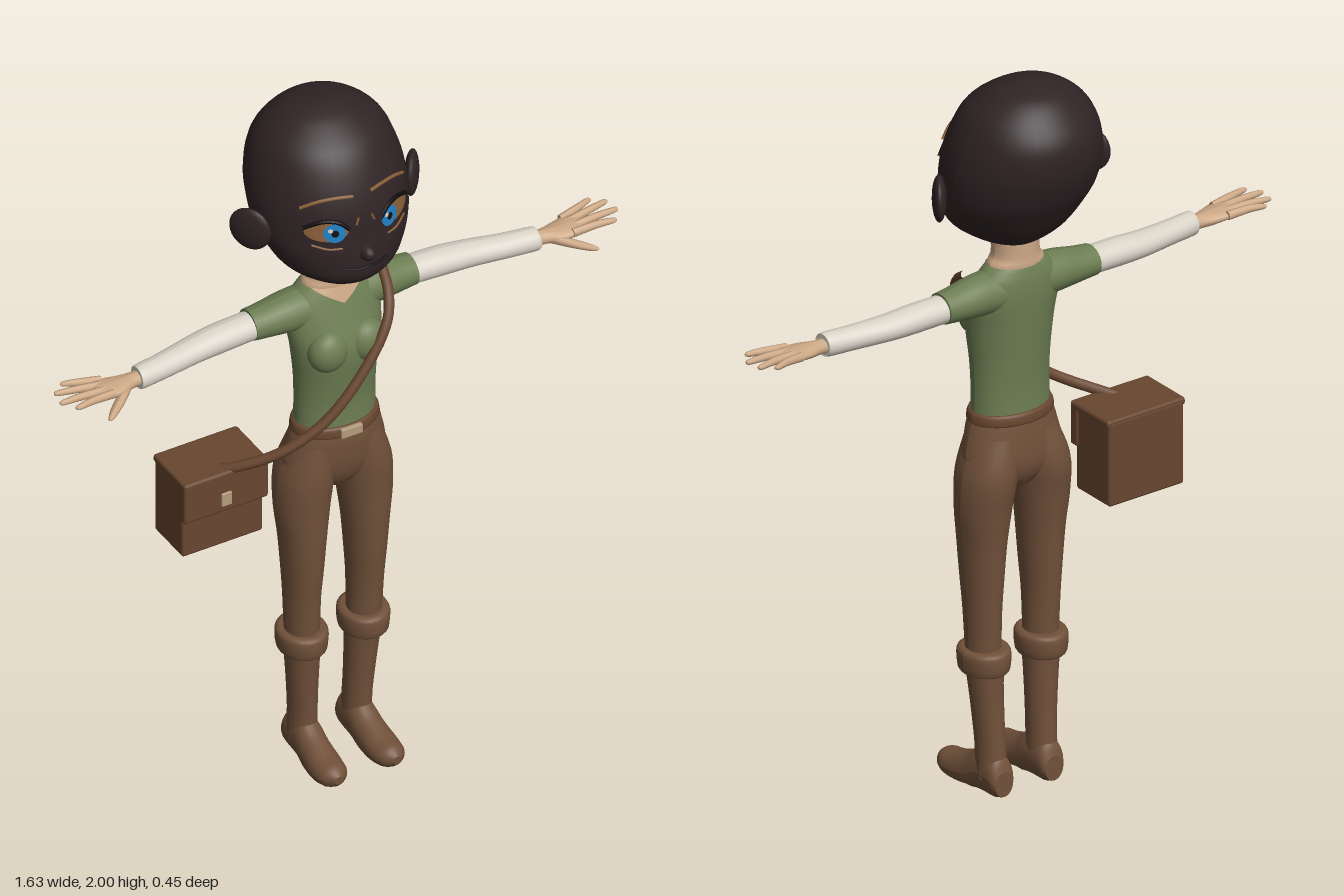
import * as THREE from 'three';
import { RoundedBoxGeometry } from 'three/addons/geometries/RoundedBoxGeometry.js';

const mat = (name, color) => {
  const m = new THREE.MeshStandardMaterial({ color });
  m.name = name;
  return m;
};

// Smooths rows of [s, centreA, centreB, radiusA, radiusB]
function smooth(rows, n = 5) {
  const out = [];
  const cr = (a, b, c, d, t) => 0.5 * (2 * b + (c - a) * t + (2 * a - 5 * b + 4 * c - d) * t * t + (3 * b - a - 3 * c + d) * t * t * t);
  const at = (i) => rows[Math.max(0, Math.min(rows.length - 1, i))];
  for (let i = 0; i < rows.length - 1; i++)
    for (let k = 0; k < n; k++)
      out.push(rows[i].map((_, c) => cr(at(i - 1)[c], at(i)[c], at(i + 1)[c], at(i + 2)[c], k / n)));
  out.push(rows[rows.length - 1]);
  return out;
}

// Capped skin over elliptical sections along one axis
function loft(rows, axis = 'y', sides = 24, steps = 5) {
  const body = smooth(rows, steps);
  const first = body[0], last = body[body.length - 1];
  const flat = (r) => [r[0], r[1], r[2], 0, 0];
  const rings = [flat(first), first, ...body, last, flat(last)];
  const pos = [], idx = [];
  rings.forEach(([s, a, b, ra, rb], i) => {
    for (let j = 0; j <= sides; j++) {
      const t = (j / sides) * Math.PI * 2;
      const u = a + ra * Math.cos(t), v = rb * Math.sin(t);
      if (axis === 'y') pos.push(u, s, b + v);
      else if (axis === 'x') pos.push(s, u, b - v);
      else pos.push(u, Math.max(0, b - v), s);
      if (i < rings.length - 1 && j < sides) {
        const p = i * (sides + 1) + j, q = p + sides + 1;
        idx.push(p, q, p + 1, q, q + 1, p + 1);
      }
    }
  });
  const g = new THREE.BufferGeometry();
  g.setAttribute('position', new THREE.Float32BufferAttribute(pos, 3));
  g.setIndex(idx);
  g.computeVertexNormals();
  return g;
}

// Front z of a vertical loft at (x, y)
function frontZ(rows, x, y) {
  const r = smooth(rows);
  let i = r.findIndex((q) => q[0] >= y);
  i = i < 1 ? (i === 0 ? 1 : r.length - 1) : i;
  const t = (y - r[i - 1][0]) / (r[i][0] - r[i - 1][0]);
  const [, cx, cz, rx, rz] = r[i].map((v, c) => THREE.MathUtils.lerp(r[i - 1][c], v, Math.min(1, Math.max(0, t))));
  return cz + rz * Math.sqrt(Math.max(0, 1 - ((x - cx) / rx) ** 2));
}

// Lays a flat geometry onto the front of a loft
function drape(g, rows, lift) {
  const p = g.attributes.position;
  for (let i = 0; i < p.count; i++) p.setZ(i, frontZ(rows, p.getX(i), p.getY(i)) + lift);
  g.computeVertexNormals();
  return g;
}

function mirrored(g) {
  const m = g.clone().scale(-1, 1, 1), ix = m.index.array;
  for (let i = 0; i < ix.length; i += 3) [ix[i], ix[i + 1]] = [ix[i + 1], ix[i]];
  m.computeVertexNormals();
  return m;
}

const tube = (pts, r, n = 16, sides = 6) =>
  new THREE.TubeGeometry(new THREE.CatmullRomCurve3(pts.map((p) => new THREE.Vector3(...p))), n, r, sides);

// Head profile: y, half width, front z, back z
const HEAD = [
  [1.525, 0.035, 0.08, -0.02], [1.54, 0.08, 0.14, -0.05], [1.565, 0.122, 0.18, -0.085],
  [1.6, 0.163, 0.2, -0.12], [1.66, 0.195, 0.2, -0.16], [1.71, 0.207, 0.193, -0.19],
  [1.79, 0.208, 0.182, -0.22], [1.87, 0.19, 0.152, -0.22], [1.93, 0.16, 0.112, -0.187],
  [1.975, 0.105, 0.05, -0.14], [1.993, 0.055, 0.005, -0.085], [2.0, 0.005, -0.03, -0.04],
].map(([y, w, f, b]) => [y, 0, (f + b) / 2, w, (f - b) / 2]);

const TORSO = [
  [1.04, 0, 0.032, 0.113, 0.076], [1.12, 0, 0.032, 0.112, 0.074], [1.2, 0, 0.034, 0.114, 0.08],
  [1.3, 0, 0.035, 0.125, 0.088], [1.38, 0, 0.02, 0.134, 0.078], [1.43, 0, 0.012, 0.125, 0.068],
  [1.46, 0, 0.01, 0.098, 0.06], [1.475, 0, 0.01, 0.078, 0.055],
];

export function createModel() {
  const model = new THREE.Group();
  model.name = 'travellerFigure';
  const dark = mat('darkHead', 0x2f2325), skin = mat('skin', 0xcaa684), green = mat('greenShirt', 0x6c7d52);
  const cream = mat('creamSleeve', 0xd8d2c7), brown = mat('brownTrousers', 0x71513a), leather = mat('leather', 0x68462f);
  const buckle = mat('buckle', 0xb49c7c), amber = mat('amber', 0x8a6038), blue = mat('blueIris', 0x1f80c2), ink = mat('ink', 0x120d10);

  const add = (name, geo, m) => {
    const mesh = new THREE.Mesh(geo, m);
    mesh.name = name;
    model.add(mesh);
    return mesh;
  };
  const both = (name, geo, m) => {
    add(name + 'Left', geo, m);
    add(name + 'Right', mirrored(geo), m);
  };

  // Head, ears and nose
  add('head', loft(HEAD, 'y', 40), dark);
  both('ear', new THREE.SphereGeometry(1, 20, 14).scale(0.058, 0.062, 0.019).rotateY(0.96).translate(0.236, 1.71, 0.015), dark);
  add('nose', new THREE.SphereGeometry(1, 16, 12).scale(0.021, 0.022, 0.03).translate(0, 1.665, 0.195), dark);

  // Face details follow the head surface
  const disc = (x, y, rx, ry, lift) => drape(new THREE.RingGeometry(0, 1, 24, 5).scale(rx, ry, 1).translate(x, y, 0), HEAD, lift);
  const line = (pts, r) => tube(pts.map(([x, y]) => [x, y, frontZ(HEAD, x, y) + 0.002]), r);
  for (const [side, s] of [['Left', 1], ['Right', -1]]) {
    const ix = 0.079 * s - 0.004;
    add('eye' + side, disc(0.098 * s, 1.745, 0.051, 0.028, 0.003), amber);
    add('iris' + side, disc(ix, 1.742, 0.027, 0.027, 0.005), blue);
    add('pupil' + side, disc(ix, 1.742, 0.009, 0.01, 0.0065), ink);
    add('eyeGlint' + side, disc(ix - 0.011, 1.752, 0.006, 0.006, 0.008), cream);
  }
  both('eyelid', line([[0.045, 1.748], [0.07, 1.77], [0.105, 1.776], [0.15, 1.755]], 0.006), ink);
  both('brow', line([[0.025, 1.832], [0.065, 1.835], [0.11, 1.828], [0.15, 1.808]], 0.005), amber);
  both('underEyeLine', line([[0.065, 1.694], [0.1, 1.695], [0.135, 1.706]], 0.003), amber);
  both('noseBridgeLine', line([[0.018, 1.775], [0.026, 1.755]], 0.003), amber);
  add('mouth', line([[-0.062, 1.632], [-0.03, 1.624], [0, 1.627], [0.03, 1.624], [0.062, 1.632]], 0.004), ink);

  // Neck, shirt and neckline
  add('neck', loft([[1.44, 0, 0.01, 0.085, 0.055], [1.475, 0, 0.01, 0.08, 0.057], [1.5, 0, 0.01, 0.066, 0.055], [1.56, 0, 0.012, 0.066, 0.055]]), skin);
  add('shirt', loft(TORSO, 'y', 32), green);
  both('chest', new THREE.SphereGeometry(1, 20, 14).scale(0.055, 0.06, 0.045).translate(0.055, 1.305, 0.093), green);
  const vee = new THREE.PlaneGeometry(2, 1, 10, 6), vp = vee.attributes.position;
  for (let i = 0; i < vp.count; i++) {
    const h = vp.getY(i) + 0.5;
    vp.setXY(i, vp.getX(i) * 0.075 * h, 1.43 + 0.045 * h);
  }
  add('neckline', drape(vee, TORSO, 0.004), skin);

  // Arms and hands
  both('shortSleeve', loft([[0.06, 1.405, 0.01, 0.058, 0.058], [0.13, 1.405, 0.01, 0.054, 0.056], [0.19, 1.402, 0.009, 0.046, 0.05], [0.237, 1.401, 0.008, 0.041, 0.046]], 'x'), green);
  both('longSleeve', loft([[0.2, 1.4, 0.008, 0.036, 0.042], [0.32, 1.397, 0.012, 0.037, 0.043], [0.4, 1.393, 0.017, 0.034, 0.041],
    [0.5, 1.389, 0.032, 0.032, 0.036], [0.575, 1.388, 0.042, 0.032, 0.033], [0.582, 1.388, 0.042, 0.027, 0.028]], 'x'), cream);
  both('palm', loft([[0.56, 1.386, 0.042, 0.02, 0.024], [0.6, 1.386, 0.043, 0.019, 0.023], [0.64, 1.387, 0.047, 0.018, 0.036],
    [0.69, 1.392, 0.045, 0.014, 0.042], [0.708, 1.394, 0.045, 0.008, 0.036]], 'x', 16), skin);
  // Each finger: root z, tip x, tip z
  [[0.012, 0.775, -0.012], [0.033, 0.808, 0.014], [0.055, 0.815, 0.055], [0.077, 0.79, 0.092]].forEach(([z0, x1, z1], i) =>
    both('finger' + (i + 1), loft([[0.67, 1.393, z0, 0.012, 0.012], [(0.68 + x1) / 2, 1.4, (z0 + z1) / 2, 0.01, 0.0105],
      [x1 - 0.01, 1.401, z1, 0.007, 0.008], [x1, 1.401, z1, 0.002, 0.002]], 'x', 10), skin));
  both('thumb', loft([[0.615, 1.384, 0.055, 0.014, 0.016], [0.66, 1.373, 0.09, 0.012, 0.018],
    [0.7, 1.364, 0.12, 0.009, 0.013], [0.715, 1.362, 0.131, 0.003, 0.004]], 'x', 10), skin);

  // Trousers
  add('hips', loft([[0.85, 0, 0.022, 0.05, 0.05], [0.885, 0, 0.022, 0.115, 0.072], [0.93, 0, 0.024, 0.145, 0.084],
    [1.0, 0, 0.03, 0.132, 0.085], [1.05, 0, 0.032, 0.117, 0.079]], 'y', 32), brown);
  both('trouserLeg', loft([[0.36, 0.09, 0.024, 0.045, 0.047], [0.5, 0.092, 0.026, 0.047, 0.056], [0.6, 0.092, 0.028, 0.053, 0.065],
    [0.7, 0.092, 0.028, 0.061, 0.072], [0.8, 0.091, 0.024, 0.072, 0.08], [0.9, 0.082, 0.021, 0.075, 0.089], [1.0, 0.062, 0.028, 0.058, 0.075]]), brown);

  // Belt and buckle
  add('belt', loft([[1.032, 0, 0.032, 0.118, 0.082], [1.037, 0, 0.032, 0.123, 0.087], [1.057, 0, 0.032, 0.12, 0.085], [1.063, 0, 0.032, 0.114, 0.08]], 'y', 32, 3), leather);
  add('beltBuckle', new RoundedBoxGeometry(0.062, 0.028, 0.012, 2, 0.003).translate(0, 1.048, 0.118), buckle);

  // Boots
  both('bootShaft', loft([[0.04, 0.08, 0.004, 0.039, 0.047], [0.12, 0.08, 0.008, 0.037, 0.045], [0.2, 0.083, 0.013, 0.039, 0.046],
    [0.3, 0.087, 0.019, 0.044, 0.05], [0.375, 0.09, 0.023, 0.05, 0.056]]), brown);
  both('bootCuff', loft([[0.338, 0.09, 0.022, 0.052, 0.06], [0.345, 0.09, 0.022, 0.063, 0.073], [0.392, 0.09, 0.022, 0.066, 0.076], [0.403, 0.09, 0.022, 0.055, 0.063]], 'y', 24, 3), brown);
  both('bootFoot', loft([[-0.05, 0.079, 0.035, 0.028, 0.035], [-0.03, 0.079, 0.05, 0.038, 0.058], [0.03, 0.079, 0.05, 0.04, 0.065],
    [0.08, 0.081, 0.03, 0.043, 0.055], [0.14, 0.083, 0.022, 0.045, 0.04], [0.18, 0.084, 0.024, 0.036, 0.031], [0.203, 0.085, 0.026, 0.012, 0.012]], 'z'), brown);

  // Shoulder bag and strap
  const box = (name, x, y, z, w, h, d, m, r = 0.008) => add(name, new RoundedBoxGeometry(w, h, d, 2, r).translate(x, y, z), m);
  box('bagBody', -0.325, 0.872, -0.04, 0.236, 0.235, 0.142, leather);
  box('bagFlap', -0.326, 0.935, 0.036, 0.246, 0.122, 0.034, leather);
  box('bagLid', -0.326, 0.985, -0.03, 0.246, 0.022, 0.16, leather);
  box('bagClasp', -0.328, 0.915, 0.054, 0.03, 0.04, 0.009, buckle, 0.003);
  add('bagStrap', tube([[0.14, 1.46, 0.03], [0.127, 1.42, 0.085], [0.1, 1.36, 0.125], [0.01, 1.235, 0.147],
    [-0.095, 1.12, 0.14], [-0.2, 1.045, 0.105], [-0.29, 1.0, 0.05], [-0.325, 0.985, 0.02]], 0.014, 48, 10), leather);
  return model;
}
